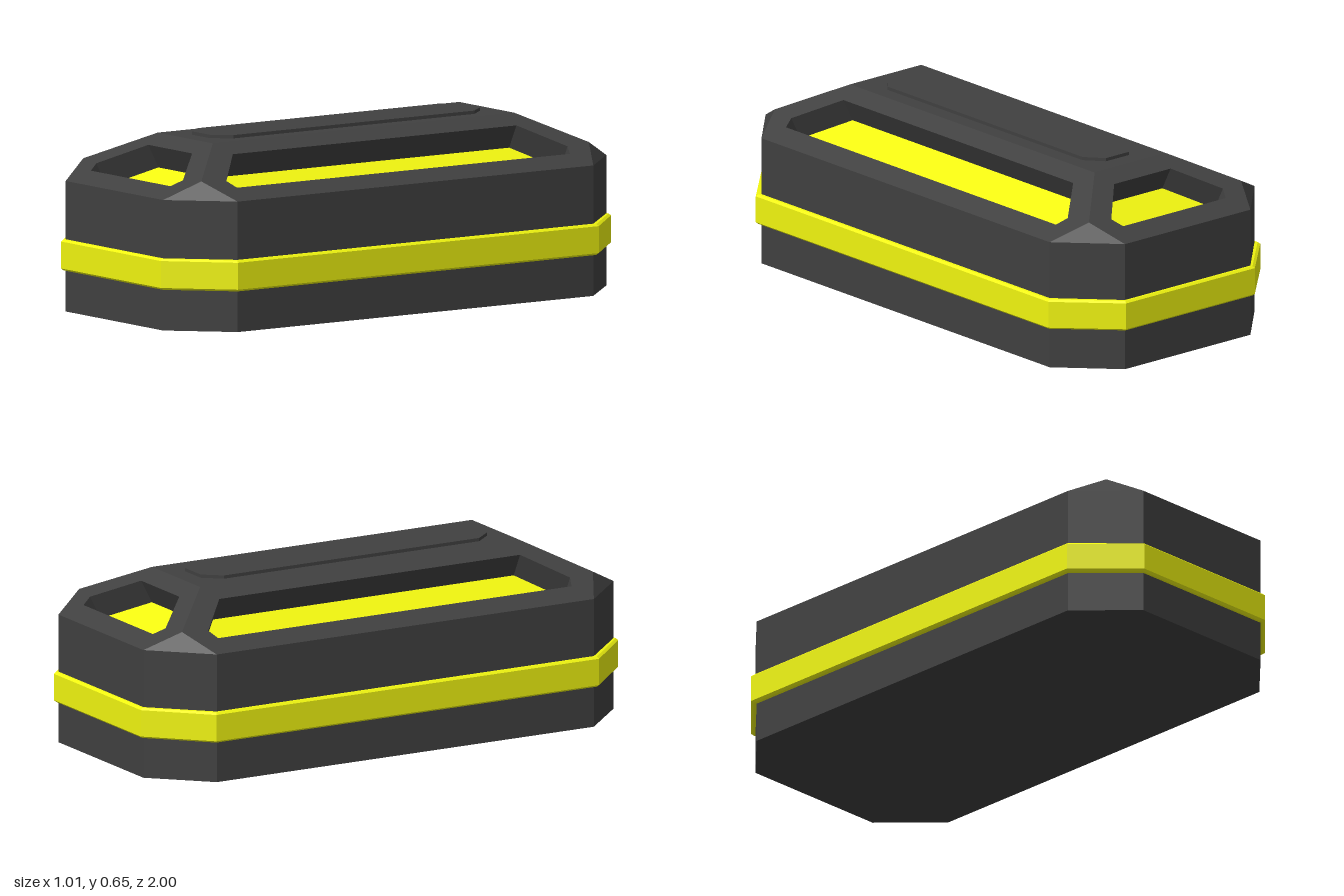
import * as THREE from 'three';

const DARK = new THREE.MeshStandardMaterial({ color: 0x404040, flatShading: true });
const YELLOW = new THREE.MeshStandardMaterial({ color: 0xf0f510, flatShading: true });

const EAVE = 0.475, RIDGE = 0.64, DEPTH = 0.097; // roof heights and recess depth
const HX = 0.49, HZ = 0.985, CX = 0.3, CZ = 0.79; // body half sizes, corner cuts
const TX = 0.17, TZ = 0.67; // half sizes of the flat top
const HIP = 0.54; // height where a corner facet meets the hip

function mesh(name, geometry, material) {
  const m = new THREE.Mesh(geometry, material);
  m.name = name;
  return m;
}

// Flat-faced geometry from convex polygons, each listed counter-clockwise
function fromPolygons(polygons) {
  const pos = [];
  for (const p of polygons)
    for (let i = 1; i < p.length - 1; i++) pos.push(...p[0], ...p[i], ...p[i + 1]);
  const g = new THREE.BufferGeometry();
  g.setAttribute('position', new THREE.Float32BufferAttribute(pos, 3));
  g.computeVertexNormals();
  return g;
}

// Chamfered-rectangle ring, counter-clockwise seen from above
function octagon(y, hx, hz, cx, cz) {
  return [[cx, hz], [hx, cz], [hx, -cz], [cx, -hz], [-cx, -hz], [-hx, -cz], [-hx, cz], [-cx, hz]]
    .map(([x, z]) => [x, y, z]);
}

function loft(rings, capBottom, capTop) {
  const faces = [];
  for (let r = 0; r < rings.length - 1; r++) {
    const lo = rings[r], hi = rings[r + 1];
    lo.forEach((p, i) => {
      const j = (i + 1) % lo.length;
      faces.push([p, lo[j], hi[j], hi[i]]);
    });
  }
  if (capBottom) faces.push([...rings[0]].reverse());
  if (capTop) faces.push(rings[rings.length - 1]);
  return fromPolygons(faces);
}

// Sloped roof panel with a recessed window, built facing +z
function roofPanel(name, base, top, eaveU, hipU, topU, opening) {
  const k = (base - top) / (RIDGE - EAVE);
  const len = Math.hypot(1, k);
  const place = ([u, v], depth = 0) =>
    [u, v - depth * k / len, base - (v - EAVE) * k - depth / len];
  const mirrored = (half) => [...half, ...half.map(([u, v]) => [-u, v]).reverse()];
  const points = (list) => list.map(([u, v]) => new THREE.Vector2(u, v));

  const outline = mirrored([[eaveU, EAVE], [hipU, HIP], [topU, RIDGE]]);
  const hole = mirrored(opening);
  const shape = new THREE.Shape(points(outline));
  shape.holes.push(new THREE.Path(points(hole)));
  const frame = new THREE.ShapeGeometry(shape);
  const p = frame.attributes.position;
  for (let i = 0; i < p.count; i++) p.setXYZ(i, ...place([p.getX(i), p.getY(i)]));
  frame.computeVertexNormals();

  const walls = hole.map((a, i) => {
    const b = hole[(i + 1) % hole.length];
    return [place(a), place(b), place(b, DEPTH), place(a, DEPTH)];
  });
  const group = new THREE.Group();
  group.name = name;
  group.add(
    mesh('roofFrame', frame, DARK),
    mesh('recessWalls', fromPolygons(walls), DARK),
    mesh('recessFloor', fromPolygons([hole.map((a) => place(a, DEPTH))]), YELLOW)
  );
  return group;
}

export function createModel() {
  const model = new THREE.Group();
  model.name = 'chamferedCase';

  // Body with closed underside
  model.add(mesh('body', loft([
    octagon(0, HX, HZ, CX, CZ), octagon(EAVE, HX, HZ, CX, CZ)
  ], true, false), DARK));

  // Bevelled band around the body
  model.add(mesh('band', loft([
    octagon(0.148, HX, HZ, CX, CZ),
    octagon(0.15, 0.499, 0.992, 0.304, 0.797),
    octagon(0.157, 0.507, 1, 0.308, 0.802),
    octagon(0.255, 0.507, 1, 0.308, 0.802),
    octagon(0.262, 0.499, 0.992, 0.304, 0.797),
    octagon(0.263, HX, HZ, CX, CZ)
  ], false, false), YELLOW));

  // Sloped roof panels with yellow windows
  const t = (HIP - EAVE) / (RIDGE - EAVE);
  const hipX = HX + (TX - HX) * t, hipZ = HZ + (TZ - HZ) * t;
  const endHole = [[0.245, 0.513], [0.267, 0.534], [0.135, 0.605]];
  const sideHole = [[0.74, 0.513], [0.758, 0.534], [0.63, 0.605]];
  for (const [i, name] of ['frontRoof', 'leftRoof', 'backRoof', 'rightRoof'].entries()) {
    const panel = i % 2
      ? roofPanel(name, HX, TX, CZ, hipZ, TZ, sideHole)
      : roofPanel(name, HZ, TZ, CX, hipX, TX, endHole);
    panel.rotation.y = i * Math.PI / 2;
    model.add(panel);
  }

  // Small triangular facets at the four corners
  const facets = [];
  for (const sx of [1, -1]) for (const sz of [1, -1]) {
    const tri = [[sx * CX, EAVE, sz * HZ], [sx * HX, EAVE, sz * CZ], [sx * hipX, HIP, sz * hipZ]];
    facets.push(sx * sz > 0 ? tri : tri.reverse());
  }
  model.add(mesh('cornerFacets', fromPolygons(facets), DARK));

  // Flat top and raised plate
  model.add(mesh('roofTop', fromPolygons([
    [[-TX, RIDGE, TZ], [TX, RIDGE, TZ], [TX, RIDGE, -TZ], [-TX, RIDGE, -TZ]]
  ]), DARK));
  model.add(mesh('topPlate', loft([
    octagon(RIDGE, 0.11, 0.6, 0.055, 0.535), octagon(0.652, 0.11, 0.6, 0.055, 0.535)
  ], false, true), DARK));

  return model;
}
